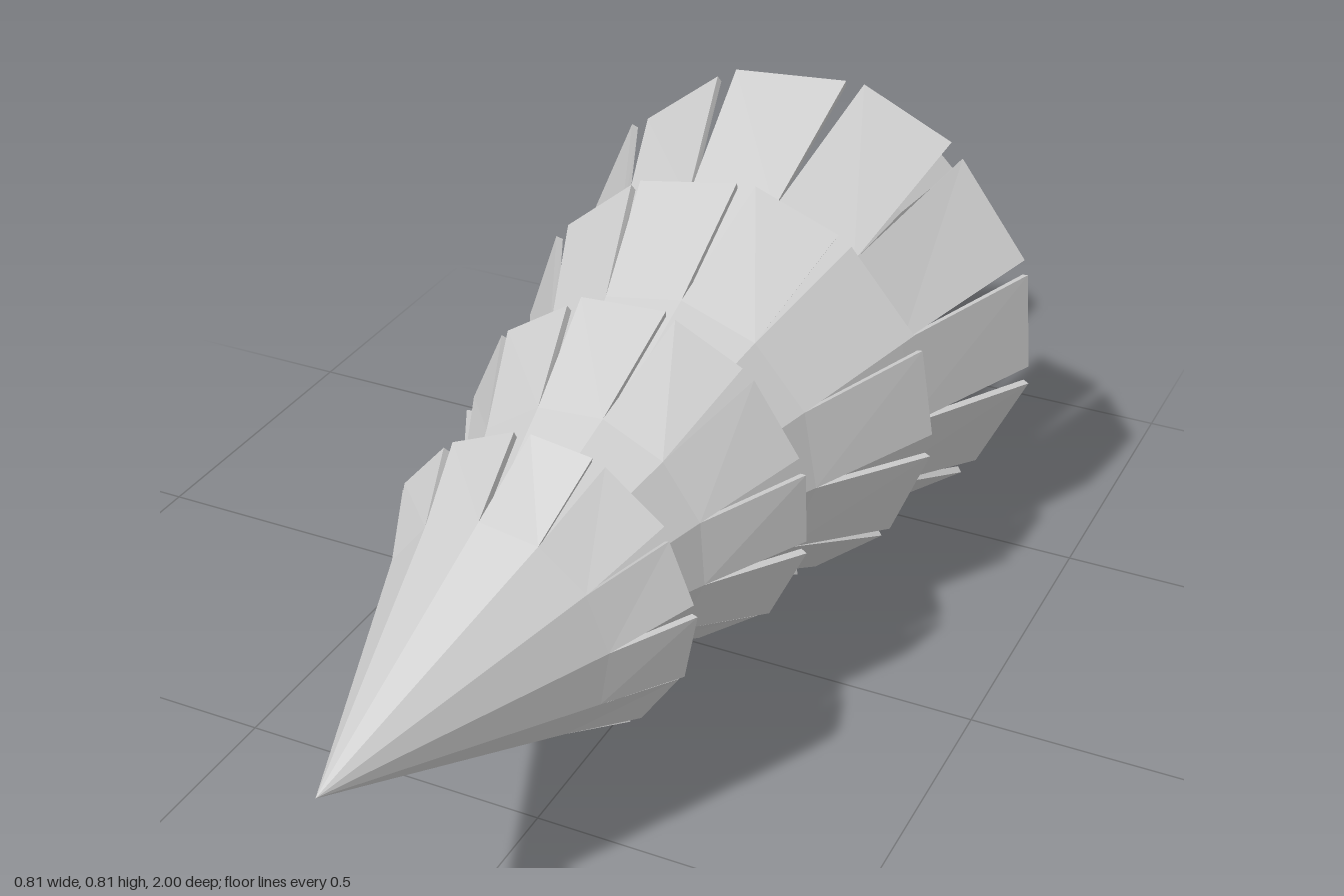
import * as THREE from 'three';

const material = new THREE.MeshStandardMaterial({ color: 0xcccccc, flatShading: true });
const V = (x, y, z) => new THREE.Vector3(x, y, z);

// Small seeded noise in -1..1 for hand-made irregularity
function makeNoise(seed) {
  let s = seed;
  return () => {
    s = (s * 16807) % 2147483647;
    return (s / 2147483647) * 2 - 1;
  };
}

function meshFrom(tris, name) {
  const geometry = new THREE.BufferGeometry().setFromPoints(tris);
  geometry.computeVertexNormals();
  const mesh = new THREE.Mesh(geometry, material);
  mesh.name = name;
  return mesh;
}

// One tier: a thin faceted cone whose skirt is slit into flat, flaring flaps
function makeTier({ name, apex, center, kinkR, kinkZ, rimR, rimZ, turn, seed }) {
  const FLAPS = 12, THICK = 0.012, step = (Math.PI * 2) / FLAPS;
  const noise = makeNoise(seed);
  const [cx, cy] = center;
  const tris = [];
  const tri = (a, b, c) => tris.push(a, b, c);
  const quad = (a, b, c, d) => { tri(a, b, c); tri(a, c, d); };
  const ringPoint = (a) => V(cx + kinkR * Math.cos(a), cy + kinkR * Math.sin(a), kinkZ);
  const tip = V(...apex);
  const tipIn = V(apex[0], apex[1], apex[2] - THICK * 2.3);

  for (let i = 0; i < FLAPS; i++) {
    const mid = THREE.MathUtils.degToRad(turn) + i * step;
    const radial = V(Math.cos(mid), Math.sin(mid), 0);
    const tangent = V(-Math.sin(mid), Math.cos(mid), 0);
    // Offset towards the inside of the shell
    const inward = (p) => {
      const d = V(p.x - cx, p.y - cy, 0).normalize();
      return p.clone().addScaledVector(d, -THICK * 0.9).add(V(0, 0, -THICK * 0.42));
    };
    // Narrow and wide flaps alternate
    const half = rimR * Math.tan(step / 2) * (i % 2 ? 0.9 : 0.79);
    const lift = 0.004 * noise(), skew = 0.004 * noise();
    const z = rimZ + 0.009 * noise();
    const corner = (side) => V(cx, cy, z + side * skew)
      .addScaledVector(radial, rimR + lift + side * skew)
      .addScaledVector(tangent, side * half);

    const outer = [ringPoint(mid - step / 2), corner(-1), corner(1), ringPoint(mid + step / 2)];
    const inner = outer.map(inward);
    tri(tip, outer[0], outer[3]);
    quad(...outer);
    tri(tipIn, inner[3], inner[0]);
    quad(inner[3], inner[2], inner[1], inner[0]);
    // Cut edges of the flap
    for (let k = 0; k < 3; k++) quad(outer[k], inner[k], inner[k + 1], outer[k + 1]);
  }
  return meshFrom(tris, name);
}

// Octagonal trunk, flaring at the foot; rings are [x, y, z, radius]
function makeTrunk() {
  const rings = [
    [-0.004, 0.407, -1, 0.09],
    [-0.008, 0.411, -0.8, 0.066],
    [-0.01, 0.414, -0.48, 0.062],
    [-0.01, 0.41, 0.3, 0.04],
  ];
  const SIDES = 8;
  const at = ([x, y, z, r], i) => {
    const a = ((i + 0.5) / SIDES) * Math.PI * 2;
    return V(x + r * Math.cos(a), y + r * Math.sin(a), z);
  };
  const tris = [];
  for (let i = 0; i < SIDES; i++) {
    for (let k = 0; k < rings.length - 1; k++) {
      const a = at(rings[k], i), b = at(rings[k], i + 1);
      const c = at(rings[k + 1], i + 1), d = at(rings[k + 1], i);
      tris.push(a, b, c, a, c, d);
    }
    const [x, y, z] = rings[0];
    tris.push(V(x, y, z), at(rings[0], i + 1), at(rings[0], i));
  }
  return meshFrom(tris, 'trunk');
}

export function createModel() {
  const group = new THREE.Group();
  group.name = 'coniferTree';

  // Four overlapping skirts of branches, from the foot to the tip
  const tiers = [
    { name: 'bottomBranches', apex: [-0.01, 0.41, 0.4], center: [0, 0.407],
      kinkR: 0.29, kinkZ: -0.23, rimR: 0.4, rimZ: -0.486, turn: 5.5, seed: 1100 },
    { name: 'lowerBranches', apex: [-0.012, 0.4, 0.59], center: [-0.015, 0.392],
      kinkR: 0.25, kinkZ: 0.02, rimR: 0.35, rimZ: -0.182, turn: 10, seed: 230000 },
    { name: 'upperBranches', apex: [-0.01, 0.41, 0.84], center: [0, 0.418],
      kinkR: 0.2, kinkZ: 0.34, rimR: 0.28, rimZ: 0.168, turn: 4, seed: 370000 },
    { name: 'topBranches', apex: [-0.03, 0.402, 1], center: [0.003, 0.407],
      kinkR: 0.175, kinkZ: 0.6, rimR: 0.234, rimZ: 0.472, turn: 21, seed: 510000 },
  ];
  for (const tier of tiers) group.add(makeTier(tier));
  group.add(makeTrunk());
  return group;
}
